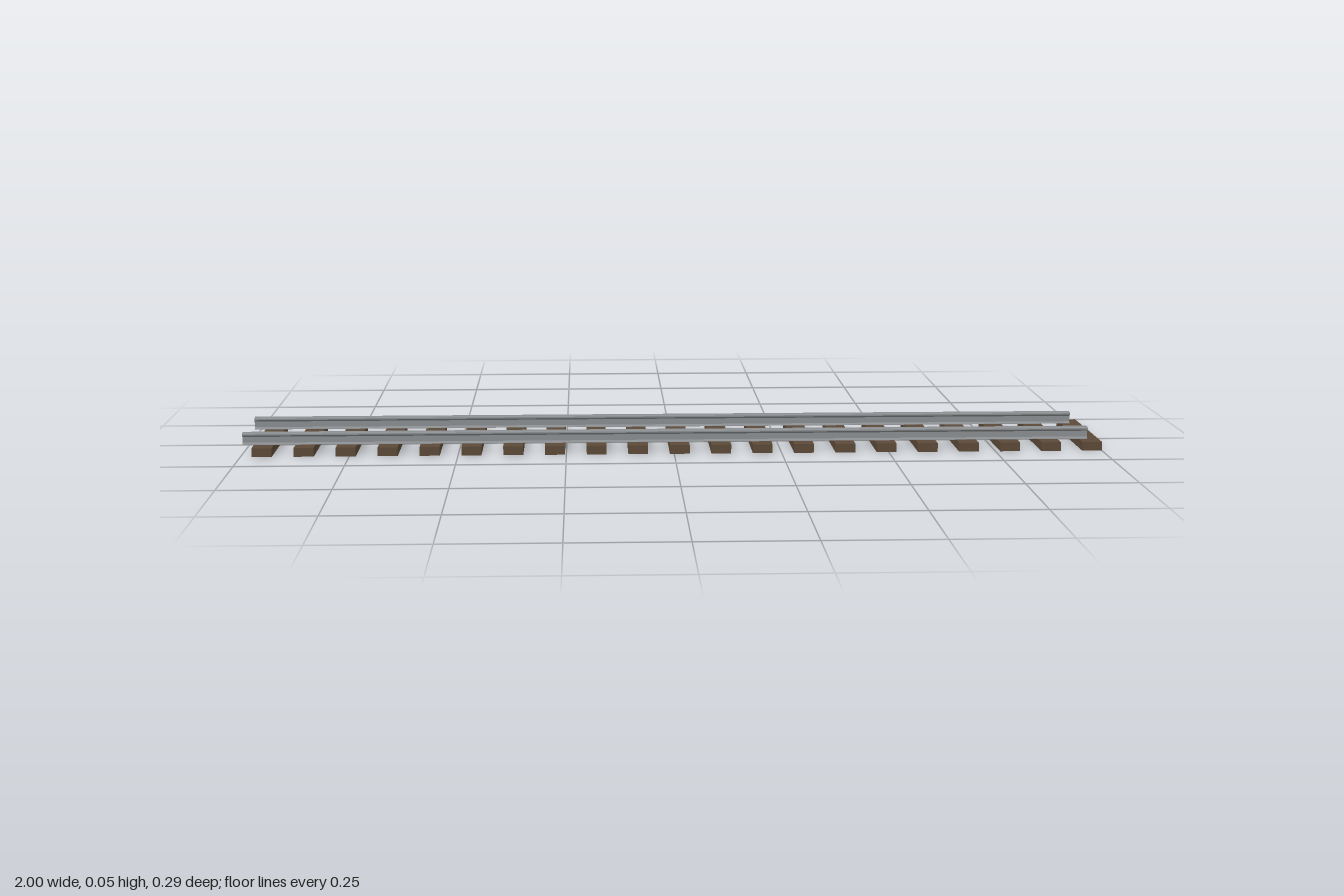
import * as THREE from 'three';

const SLEEPERS = 21;
const FIRST_X = -0.951, LAST_X = 0.977;
const SLEEPER = { width: 0.046, height: 0.0205, length: 0.288 };
const RAIL = { start: -1, end: 0.974, z: 0.0965 };

// Half profile of a rail: [half width, height], foot to head
const HALF_PROFILE = [
  [0.0085, 0.0205], [0.0085, 0.0215], [0.0045, 0.0255], [0.0045, 0.039],
  [0.0105, 0.0435], [0.0105, 0.0465], [0.0075, 0.049],
];

function railGeometry() {
  const right = HALF_PROFILE.map(([w, y]) => new THREE.Vector2(w, y));
  const left = HALF_PROFILE.map(([w, y]) => new THREE.Vector2(-w, y)).reverse();
  const geometry = new THREE.ExtrudeGeometry(new THREE.Shape([...right, ...left]), {
    depth: RAIL.end - RAIL.start, bevelEnabled: false,
  });
  // Lay the extrusion along x
  return geometry.rotateY(Math.PI / 2).translate(RAIL.start, 0, 0);
}

export function createModel() {
  const track = new THREE.Group();
  track.name = 'railwayTrack';

  const wood = new THREE.MeshStandardMaterial({ color: 0x5c4a38 });
  wood.name = 'sleeperBrown';
  const steel = new THREE.MeshStandardMaterial({ color: 0x8b8e91 });
  steel.name = 'railGrey';

  // Evenly spaced wooden sleepers
  const sleepers = new THREE.Group();
  sleepers.name = 'sleepers';
  const box = new THREE.BoxGeometry(SLEEPER.width, SLEEPER.height, SLEEPER.length);
  for (let i = 0; i < SLEEPERS; i++) {
    const sleeper = new THREE.Mesh(box, wood);
    sleeper.name = `sleeper${i + 1}`;
    sleeper.position.set(
      THREE.MathUtils.lerp(FIRST_X, LAST_X, i / (SLEEPERS - 1)), SLEEPER.height / 2, 0);
    sleepers.add(sleeper);
  }
  track.add(sleepers);

  // Two parallel steel rails
  const profile = railGeometry();
  for (const [name, side] of [['frontRail', 1], ['backRail', -1]]) {
    const rail = new THREE.Mesh(profile, steel);
    rail.name = name;
    rail.position.z = side * RAIL.z;
    track.add(rail);
  }

  return track;
}
